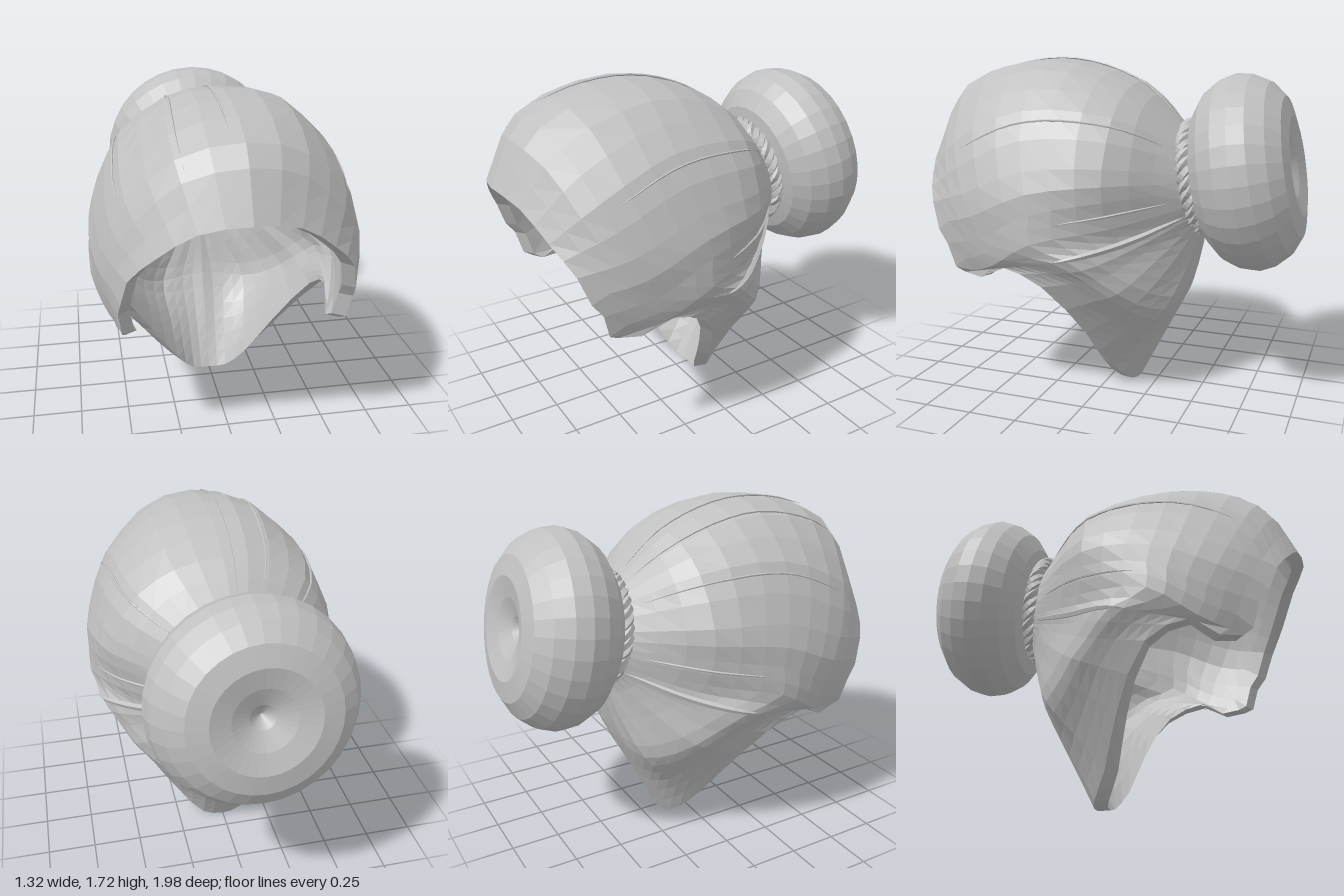
import * as THREE from 'three';

const V = (x, y, z) => new THREE.Vector3(x, y, z);
const TILT = -1.396; // leans the bun and its tie slightly upwards at the back

// Hair guides from crown (0 degrees) round one side to the nape (180 degrees)
const ANGLES = [0, 25, 48, 79, 98, 115, 126, 136, 152, 164, 173, 180];
const WIDEST = [
  [0, 1.72, .3], [.28, 1.66, .3], [.49, 1.47, .3], [.62, 1.2, .25], [.655, 1, .2], [.655, .86, .2],
  [.62, .79, .03], [.54, .68, -.1], [.4, .54, -.25], [.26, .48, -.35], [.13, .49, -.385], [0, .5, -.39],
];
const HEM = [
  [0, 1.29, .99], [.22, 1.25, .94], [.39, 1.13, .88], [.51, 1, .81], [.55, .8, .71], [.52, .65, .63],
  [.59, .72, .4], [.57, .63, .18], [.39, .35, .02], [.23, .13, -.06], [.11, .015, -.13], [0, 0, -.15],
];

// Each guide runs tie, shoulder, widest, brow, hem
const half = ANGLES.map((degrees, i) => {
  const a = THREE.MathUtils.degToRad(degrees), s = Math.sin(a), c = Math.cos(a);
  const tie = V(.26 * s, 1.12 + .26 * c, -.43 + .06 * c);
  const shoulder = V(.56 * s, 1.13 + .47 * c, -.13 - .31 * THREE.MathUtils.smoothstep(degrees, 105, 170));
  const widest = V(...WIDEST[i]), hem = V(...HEM[i]);
  const brow = widest.clone().lerp(hem, .5);
  const push = brow.clone().sub(V(0, 1.27, .2)).normalize().multiply(V(.5, 1, 1));
  brow.addScaledVector(push, .2 * Math.max(0, hem.z) ** 3);
  return [tie, shoulder, widest, brow, hem];
});
const mirrored = half.slice(1, -1).reverse().map(g => g.map(p => V(-p.x, p.y, p.z)));
const guides = [...half, ...mirrored].map(g => new THREE.CatmullRomCurve3(g));
const COUNT = guides.length;

// Closed contour round the hair at a distance v (0 tie, 1 hem)
const contour = v => new THREE.CatmullRomCurve3(guides.map(g => g.getPoint(v)), true);
const onHair = (u, v) => contour(v).getPoint(u / COUNT);

function flat(geometry) {
  const g = geometry.index ? geometry.toNonIndexed() : geometry;
  g.computeVertexNormals();
  return g;
}

// Outer layer, turned under at the hem and continued as the inner layer
function hairShell() {
  const around = COUNT * 2, rows = 12, pos = [], index = [];
  const addRow = (v, depth) => {
    const c = contour(v);
    for (let i = 0; i < around; i++) {
      const p = c.getPoint(i / around);
      const inward = V(0, Math.min(p.y, 1.1), .3).sub(p).normalize();
      const ripple = Math.sin(i * 2.3 + v * 2) * .005 * Math.sin(Math.PI * v);
      p.addScaledVector(inward, depth + ripple);
      // Ragged ends at the temples
      const u = Math.min(i, around - i) / 2;
      if (v === 1 && u > 3 && u < 6 && i % 2) p.y -= .035;
      pos.push(p.x, p.y, p.z);
    }
  };
  for (let j = 0; j <= rows; j++) addRow(j / rows, 0);
  for (let j = rows; j >= 0; j--) addRow(j / rows, .07);
  for (let j = 0; j < rows * 2 + 1; j++) {
    for (let i = 0; i < around; i++) {
      const k = (i + 1) % around;
      const a = j * around + i, b = j * around + k, c = a + around, d = b + around;
      index.push(a, c, b, b, c, d);
    }
  }
  const g = new THREE.BufferGeometry();
  g.setAttribute('position', new THREE.Float32BufferAttribute(pos, 3));
  g.setIndex(index);
  return flat(g);
}

// Tube that thins out towards both ends
function taperedTube(points, radius, segments = 14, sides = 5) {
  const path = new THREE.CatmullRomCurve3(points);
  const g = new THREE.TubeGeometry(path, segments, radius, sides);
  const p = g.attributes.position, w = V(0, 0, 0);
  for (let i = 0; i < p.count; i++) {
    const t = Math.floor(i / (sides + 1)) / segments;
    const mid = path.getPointAt(t);
    w.fromBufferAttribute(p, i).lerp(mid, 1 - Math.sqrt(Math.max(.002, Math.sin(Math.PI * t))));
    p.setXYZ(i, w.x, w.y, w.z);
  }
  return flat(g);
}

// One strand of the twisted tie
class RopeCurve extends THREE.Curve {
  constructor(phase) { super(); this.phase = phase; }
  getPoint(t, target = V(0, 0, 0)) {
    const a = t * Math.PI * 2, b = a * 12 + this.phase;
    const r = .262 + Math.cos(b) * .02;
    return target.set(Math.cos(a) * r, Math.sin(b) * .022, Math.sin(a) * r);
  }
}

export function createModel() {
  const hair = new THREE.MeshStandardMaterial({ color: 0xc0c0c0 });
  hair.name = 'hair grey';
  const model = new THREE.Group();
  model.name = 'hairWithBun';
  const add = (name, geometry, parent = model) => {
    const m = new THREE.Mesh(geometry, hair);
    m.name = name;
    parent.add(m);
    return m;
  };

  add('hairShell', hairShell());

  // Raised strands lying along the hair: [u, start, end, radius]
  const strands = [
    [6, .02, .6, .018], [COUNT - 6, .02, .6, .018],
    [COUNT - .2, .03, .7, .006], [COUNT - .9, .05, .8, .006],
    [2.2, .05, .72, .006], [COUNT - 2.2, .05, .72, .006],
    [4.5, .05, .4, .007], [COUNT - 4.4, .05, .45, .007],
  ];
  for (const [u, from, to, r] of strands) {
    const pts = [];
    for (let i = 0; i <= 7; i++) pts.push(onHair(u, from + (to - from) * i / 7));
    add('hairStrand', taperedTube(pts, r));
  }

  // Twisted tie
  const tie = new THREE.Group();
  tie.name = 'hairTie';
  tie.position.set(0, 1.125, -.45);
  tie.rotation.x = TILT;
  model.add(tie);
  for (let i = 0; i < 3; i++) {
    const rope = new RopeCurve(i * Math.PI * 2 / 3);
    add('tieStrand', flat(new THREE.TubeGeometry(rope, 144, .022, 5, true)), tie);
  }

  // Bun, dimpled at both ends
  const back = [[.495, 0], [.478, .08], [.43, .16], [.35, .22], [.25, .24], [.15, .215], [.06, .175], [0, .13]];
  const front = back.slice(1).reverse().map(([r, h]) => [r, -h]);
  const profile = [...front, ...back].map(([r, h]) => new THREE.Vector2(r, h));
  const bun = add('bun', flat(new THREE.LatheGeometry(profile, 32)));
  bun.position.set(0, 1.16, -.715);
  bun.rotation.x = TILT;

  return model;
}
